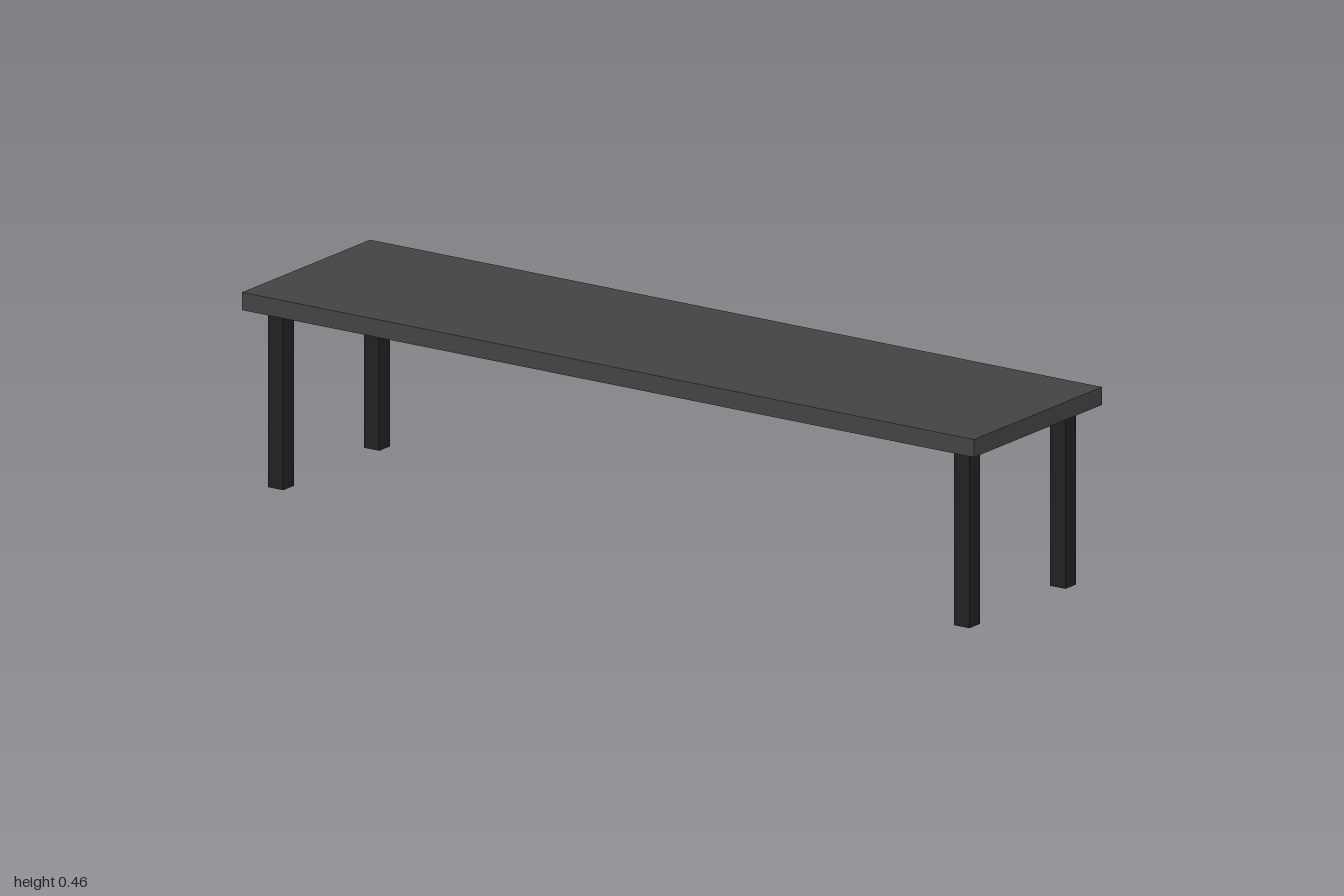
import * as THREE from 'three';

export function createModel() {
  const model = new THREE.Group();
  model.name = 'bench';

  const topMaterial = new THREE.MeshStandardMaterial({ color: 0x444444 });
  topMaterial.name = 'dark grey top';
  const legMaterial = new THREE.MeshStandardMaterial({ color: 0x222222 });
  legMaterial.name = 'black legs';

  const thickness = 1 / 24; // shared by the slab and the square legs
  const legHeight = 10 / 24;

  // Flat slab
  const top = new THREE.Mesh(new THREE.BoxGeometry(2, thickness, 0.5), topMaterial);
  top.name = 'top';
  top.position.y = legHeight + thickness / 2;
  model.add(top);

  // Four square legs, inset from the corners
  const legGeometry = new THREE.BoxGeometry(thickness, legHeight, thickness);
  for (const [side, x] of [['Left', 0.9375], ['Right', -0.9375]]) {
    for (const [end, z] of [['front', 0.1875], ['back', -0.1875]]) {
      const leg = new THREE.Mesh(legGeometry, legMaterial);
      leg.name = `${end}${side}Leg`;
      leg.position.set(x, legHeight / 2, z);
      model.add(leg);
    }
  }

  return model;
}
